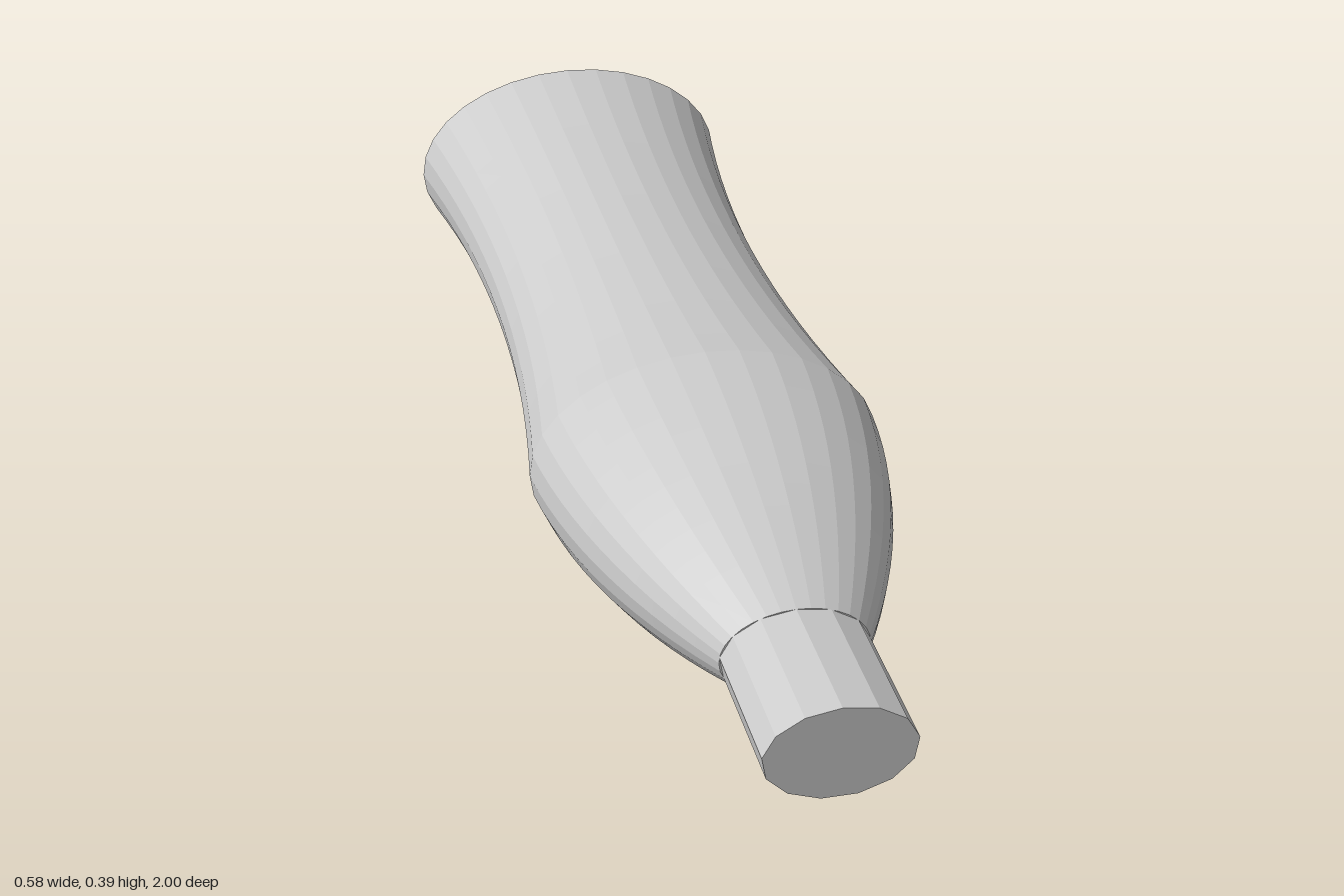
import * as THREE from 'three';

const material = new THREE.MeshStandardMaterial({ color: 0xcccccc, flatShading: true });
const FLATTEN = 0.667, CENTRE_Y = 0.195;
const Z_BACK = -1, Z_SHOULDER = 0.17, Z_NECK = 0.75, Z_TIP = 1;
const R_WIDE = 0.292, R_NECK = 0.116;

// Ring profile between two radii, bowed outward (bulge > 0) or inward (bulge < 0)
function bowed(z0, r0, z1, r1, bulge, steps) {
  const points = [];
  for (let i = 0; i <= steps; i++) {
    const t = i / steps;
    const r = r0 + (r1 - r0) * t + 4 * bulge * t * (1 - t);
    points.push(new THREE.Vector2(r, z0 + (z1 - z0) * t));
  }
  return points;
}

// Closed elliptical loft along z from a list of (radius, z) points
function loft(name, profile, sides) {
  const points = [
    new THREE.Vector2(0, profile[0].y),
    ...profile,
    new THREE.Vector2(0, profile[profile.length - 1].y),
  ];
  const geometry = new THREE.LatheGeometry(points, sides, Math.PI);
  geometry.rotateX(Math.PI / 2);
  geometry.scale(1, FLATTEN, 1);
  geometry.translate(0, CENTRE_Y, 0);
  const mesh = new THREE.Mesh(geometry, material);
  mesh.name = name;
  return mesh;
}

export function createModel() {
  const group = new THREE.Group();
  group.name = 'flattenedHandle';

  // Waisted grip, then the convex shoulder tapering to the neck
  const grip = bowed(Z_BACK, R_WIDE, Z_SHOULDER, R_WIDE, -0.046, 16);
  const shoulder = bowed(Z_SHOULDER, R_WIDE, Z_NECK, R_NECK, 0.033, 12);
  group.add(loft('body', [...grip, ...shoulder.slice(1)], 32));

  // Straight faceted neck
  group.add(loft('neck', bowed(Z_NECK, R_NECK, Z_TIP, R_NECK, 0, 1), 13));
  return group;
}
